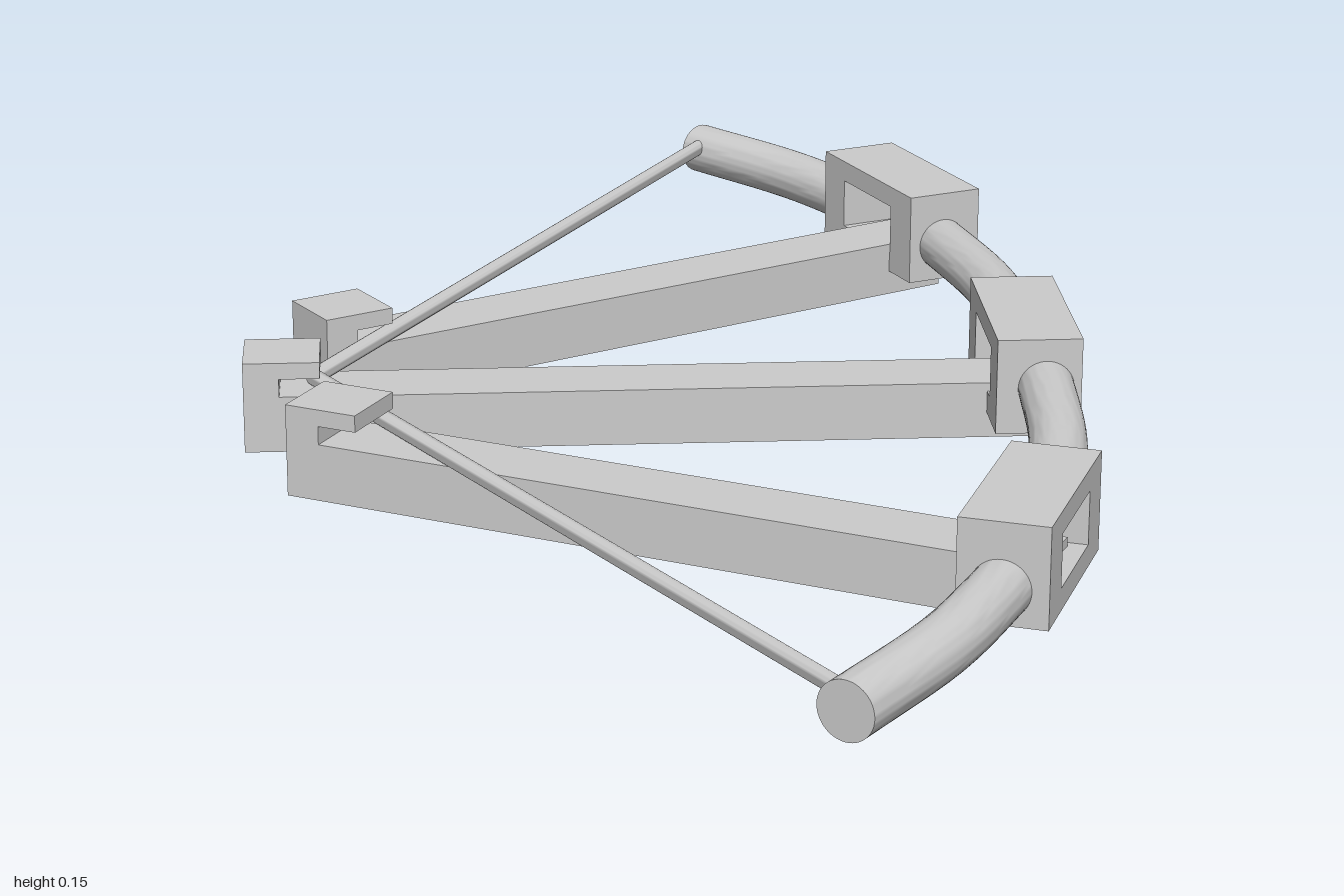
import * as THREE from 'three';
import { toCreasedNormals } from 'three/addons/utils/BufferGeometryUtils.js';

const V = (x, y, z) => new THREE.Vector3(x, y, z);

export function createModel() {
  const model = new THREE.Group();
  const material = new THREE.MeshStandardMaterial({ color: 0xcccccc });

  const add = (name, geometry) => {
    const mesh = new THREE.Mesh(geometry, material);
    mesh.name = name;
    model.add(mesh);
    return mesh;
  };

  // Solid round rod with closed ends, swept along a curve
  const rod = (name, curve, radius, steps, sides) => {
    const circle = new THREE.Shape();
    circle.absarc(0, 0, radius, 0, Math.PI * 2);
    const g = new THREE.ExtrudeGeometry(circle, { steps, curveSegments: sides, extrudePath: curve });
    return add(name, toCreasedNormals(g, 0.8));
  };

  // Bar with a notched string catch at its rear end, running from (x0, z0) to (x1, z1)
  const stock = (name, x0, z0, x1, z1) => {
    const length = Math.hypot(x1 - x0, z1 - z0);
    const profile = new THREE.Shape([
      [0, 0], [length, 0], [length, 0.068], [0.042, 0.068],
      [0.042, 0.09], [0.09, 0.09], [0.09, 0.11], [0, 0.11],
    ].map(([x, y]) => new THREE.Vector2(x, y)));
    const g = new THREE.ExtrudeGeometry(profile, { depth: 0.09, bevelEnabled: false });
    g.translate(0, 0, -0.045);
    const mesh = add(name, g);
    mesh.position.set(x0, 0, z0);
    mesh.rotation.y = -Math.atan2(z1 - z0, x1 - x0);
  };

  // Rectangular frame with a window through its thickness
  const bracket = (name, x, z, angle) => {
    const rect = (Kind, w, h) => new Kind([
      new THREE.Vector2(-w, -h), new THREE.Vector2(w, -h),
      new THREE.Vector2(w, h), new THREE.Vector2(-w, h),
    ]);
    const frame = rect(THREE.Shape, 0.12, 0.0575);
    frame.holes.push(rect(THREE.Path, 0.065, 0.031));
    const g = new THREE.ExtrudeGeometry(frame, { depth: 0.1, bevelEnabled: false });
    g.translate(0, 0, -0.05);
    g.rotateY(Math.PI / 2);
    const mesh = add(name, g);
    mesh.position.set(x, 0.0885, z);
    mesh.rotation.y = -angle;
  };

  stock('centreStock', -0.49, 0, 0.485, 0);
  bracket('centreBracket', 0.437, 0, 0);

  for (const s of [1, -1]) {
    const side = s > 0 ? 'front' : 'back';
    stock(side + 'Stock', -0.415, s * 0.15, 0.383, s * 0.585);
    bracket(side + 'Bracket', 0.357, s * 0.585, s * 0.376);

    // Bow limb sections between and beyond the brackets
    rod(side + 'InnerLimb', new THREE.CatmullRomCurve3([
      V(0.447, 0.087, s * 0.09), V(0.433, 0.083, s * 0.29), V(0.394, 0.077, s * 0.5),
    ]), 0.033, 12, 24);
    rod(side + 'OuterLimb', new THREE.CatmullRomCurve3([
      V(0.325, 0.072, s * 0.67), V(0.236, 0.069, s * 0.83), V(0.12, 0.066, s * 0.983),
    ]), 0.033, 12, 24);

    // Bowstring from the limb tip to the centre catch
    rod(side + 'String', new THREE.LineCurve3(
      V(0.125, 0.077, s * 0.965), V(-0.408, 0.077, 0),
    ), 0.01, 1, 12);
  }
  return model;
}
